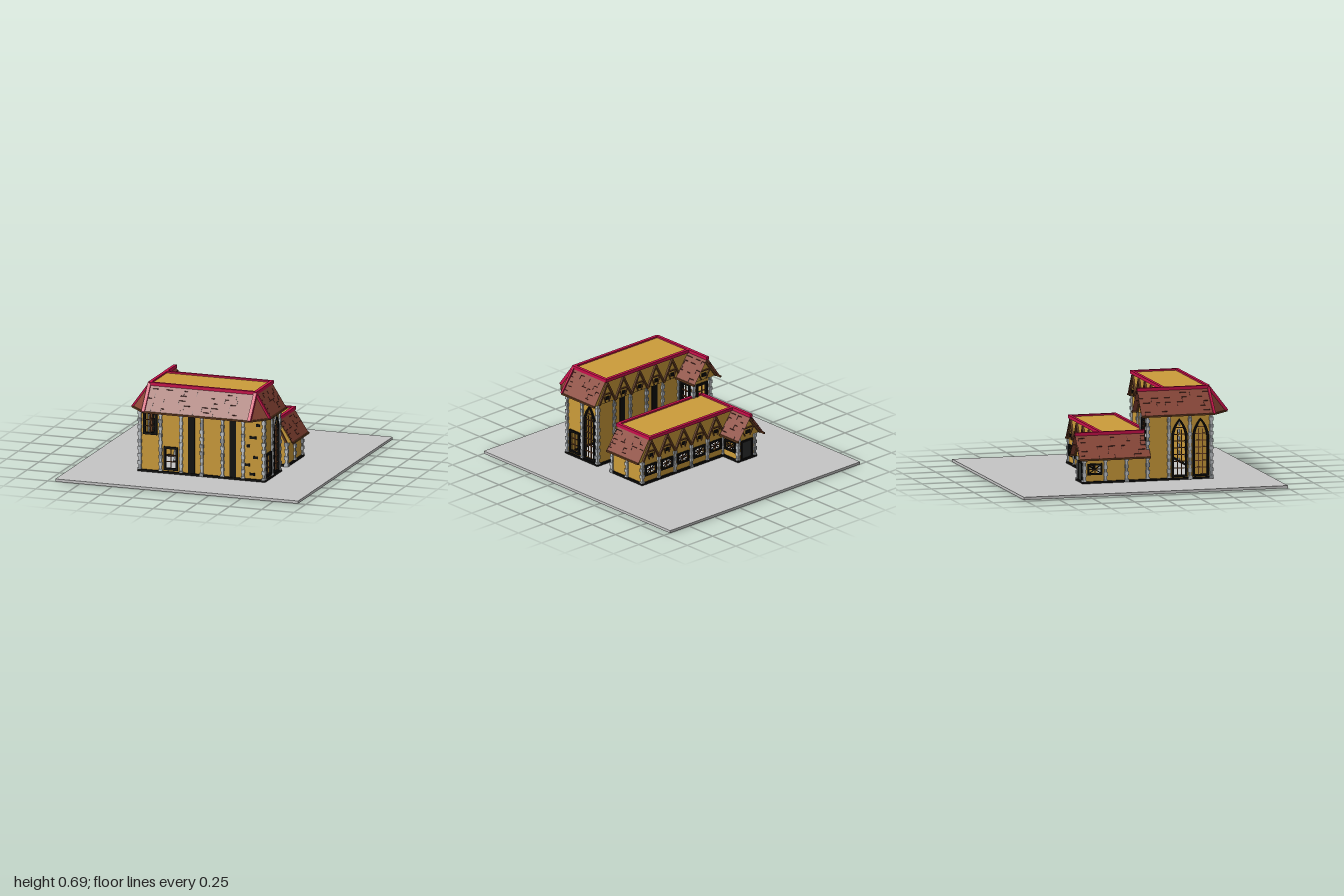
import * as THREE from 'three';

const mat = (name, color) => new THREE.MeshStandardMaterial({ name, color, side: THREE.DoubleSide });
const M = {
  plaster: mat('plaster', 0xcc9c3a), roof: mat('roof tile', 0x8a4535), joint: mat('tile joint', 0x44201a),
  ridge: mat('ridge', 0xc80f4a), black: mat('black timber', 0x0c0b0a), brown: mat('brown timber', 0x6b4022),
  stone: mat('light stone', 0xc0c4c8), stone2: mat('dark stone', 0x92969a), ground: mat('ground', 0xc6c6c6),
  door: mat('door', 0x2c2f2e),
};
const BAY = 0.16, GROUND = 0.02;
const V = (x, y, z) => new THREE.Vector3(x, y, z);

let seed = 7;
const rand = () => (seed = (seed * 16807) % 2147483647) / 2147483647;

function add(parent, name, geo, material, x = 0, y = 0, z = 0) {
  const m = new THREE.Mesh(geo, material);
  m.name = name;
  m.position.set(x, y, z);
  parent.add(m);
  return m;
}
const box = (p, name, material, w, h, d, x, y, z) => add(p, name, new THREE.BoxGeometry(w, h, d), material, x, y, z);

// Square beam between two points
function bar(parent, name, a, b, t, material, t2 = t) {
  const m = new THREE.Mesh(new THREE.BoxGeometry(t, t2, a.distanceTo(b)), material);
  m.name = name;
  m.position.copy(a).lerp(b, 0.5);
  m.lookAt(b);
  parent.add(m);
}

// Rectangle or pointed-arch outline
function outline(x, hw, y0, y1, point = 0, Type = THREE.Shape) {
  const s = new Type();
  s.moveTo(x - hw, y0);
  s.lineTo(x + hw, y0);
  s.lineTo(x + hw, y1 - point);
  if (point) {
    s.quadraticCurveTo(x + hw * 0.85, y1 - point * 0.45, x, y1);
    s.quadraticCurveTo(x - hw * 0.85, y1 - point * 0.45, x - hw, y1 - point);
  } else s.lineTo(x - hw, y1);
  s.closePath();
  return s;
}
const plate = (shape, depth) => new THREE.ExtrudeGeometry(shape, { depth, bevelEnabled: false, curveSegments: 6 });

// half width, bottom, top, arch height, frame width, columns, rows
const OPENINGS = {
  high: [0.054, 0.30, 0.472, 0, 0.016, 2, 3],
  low: [0.054, 0.045, 0.22, 0, 0.016, 2, 3],
  arch: [0.06, 0.04, 0.468, 0.12, 0.015, 3, 8],
  blindArch: [0.06, 0.04, 0.468, 0.12, 0.015, 3, 8],
  lattice: [0.056, 0.082, 0.165, 0, 0.012, 2, 2],
  door: [0.055, 0.022, 0.175, 0, 0.014, 0, 0],
};
const BRICKS = [[0.385, 0.468, 0.04], [0.47, 0.44, 0.026], [0.43, 0.345, 0.052], [0.395, 0.28, 0.026],
  [0.452, 0.197, 0.036], [0.385, 0.138, 0.042], [0.425, 0.07, 0.04]];

function stonePost(parent, x, y0, y1) {
  const n = Math.round((y1 - y0) / 0.026), h = (y1 - y0) / n;
  for (let i = 0; i < n; i++) {
    const w = i % 2 ? 0.019 : 0.025 + rand() * 0.004;
    box(parent, 'postStone', rand() < 0.3 ? M.stone2 : M.stone, w, h * 0.97, w, x, y0 + (i + 0.5) * h, 0.001);
  }
}

function bay(g, x, top, type) {
  const wall = outline(x, BAY / 2, GROUND, top);
  const o = OPENINGS[type];
  if (o) {
    const [hw, y0, y1, point, f, cols, rows] = o;
    const iw = hw - f, iy0 = y0 + f, iy1 = y1 - f;
    const hole = () => outline(x, iw, iy0, iy1, point, THREE.Path);
    if (type !== 'door' && type !== 'blindArch') wall.holes.push(hole());
    const frame = outline(x, hw, y0, y1, point);
    frame.holes.push(hole());
    add(g, type + 'Frame', plate(frame, 0.018), M.black, 0, 0, -0.006);
    if (type === 'door') box(g, 'doorLeaf', M.door, iw * 2, iy1 - iy0, 0.006, x, (iy0 + iy1) / 2, 0.004);
    // Glazing bars
    for (let i = 1; i < cols; i++) {
      const bx = -iw + (2 * iw * i) / cols, h = iy1 - iy0 - point * 0.55;
      box(g, 'mullion', M.brown, 0.006, h, 0.008, x + bx, iy0 + h / 2, 0.002);
    }
    for (let j = 1; j < rows; j++)
      box(g, 'glazingBar', M.brown, iw * 2 * (point && j === rows - 1 ? 0.6 : 1), 0.006, 0.008, x, iy0 + ((iy1 - iy0) * j) / rows, 0.002);
    if (type === 'lattice') for (const s of [-1, 1])
      bar(g, 'latticeBar', V(x - iw, s < 0 ? iy0 : iy1, 0.004), V(x + iw, s < 0 ? iy1 : iy0, 0.004), 0.006, M.black);
  }
  add(g, 'wallPanel', plate(wall, 0.008), M.plaster, 0, 0, -0.008);
  if (type === 'panel') box(g, 'blackPanel', M.black, 0.05, top - GROUND, 0.008, x, (top + GROUND) / 2, 0.002);
  if (type === 'bricks') for (const [bx, by, w] of BRICKS)
    box(g, 'darkBrick', M.black, w, 0.019, 0.008, x + bx - 0.435, by, 0.002);
}

// A run of bays starting at (x, z); local +z faces outwards
function wallRun(parent, name, x, z, turn, top, types) {
  const g = new THREE.Group();
  g.name = name;
  g.position.set(x, 0, z);
  g.rotation.y = (turn * Math.PI) / 2;
  types.forEach((t, i) => bay(g, (i + 0.5) * BAY, top, t));
  for (let i = 0; i <= types.length; i++) stonePost(g, i * BAY, GROUND, top);
  const len = types.length * BAY;
  box(g, 'plinth', M.black, len + 0.03, 0.015, 0.03, len / 2, GROUND + 0.0075, 0);
  parent.add(g);
}

// Roof slope: a, b along the top; c, d along the eave (d below a)
function slope(parent, name, a, b, c, d) {
  const geo = new THREE.BufferGeometry().setFromPoints([a, d, c, a, c, b]);
  geo.computeVertexNormals();
  add(parent, name, geo, M.roof);
  const at = (u, v) => a.clone().lerp(b, u).lerp(d.clone().lerp(c, u), v);
  const len = d.distanceTo(c), rows = 6;
  for (let r = 1; r < rows; r++) {
    for (let u = rand() * 0.08; u < 0.93; u += (0.06 + rand() * 0.09) / len) {
      const e = Math.min(u + (0.025 + rand() * 0.03) / len, 0.99);
      if (rand() < 0.6) bar(parent, 'tileJoint', at(u, r / rows), at(e, r / rows), 0.004, M.joint);
      if (rand() < 0.5) bar(parent, 'tileEdge', at(u, r / rows), at(u, (r + 0.8) / rows), 0.003, M.joint);
    }
  }
  bar(parent, 'eaveBoard', d, c, 0.012, M.brown);
}

// Timbered triangle set in the xy plane; s is the outward side
function gableTimber(g, x, hw, y0, y1, z, s) {
  const y = (k) => y0 + (y1 - y0) * k;
  for (const k of [-1, 1]) {
    bar(g, 'gableRafter', V(x + k * hw, y0, z), V(x, y1, z), 0.014, M.brown);
    bar(g, 'gableBrace', V(x + k * hw * 0.2, y(0.05), z), V(x + k * hw * 0.5, y(0.45), z), 0.007, M.brown);
  }
  bar(g, 'gableCollar', V(x - hw * 0.55, y(0.45), z), V(x + hw * 0.55, y(0.45), z), 0.009, M.brown);
  box(g, 'gableVent', M.black, hw * 0.35, (y1 - y0) * 0.16, 0.008, x, y(0.25), z + s * 0.002);
}

const XL = -0.37, XR = 0.45, EL = -0.5, ER = 0.565, WR = -0.24;

// Flat-topped roof with a gabled wing at its right rear
function roof(parent, name, eave, top, zf, zb, wingEnd, hipped) {
  const g = new THREE.Group();
  g.name = name;
  const zEnd = hipped ? zf + 0.01 : zf;
  slope(g, 'sideSlopeRight', V(XL, top, wingEnd), V(XL, top, zf), V(EL, eave, zEnd), V(EL, eave, wingEnd));
  slope(g, 'sideSlopeLeft', V(XR, top, zf), V(XR, top, zb), V(ER, eave, zb), V(ER, eave, zEnd));
  slope(g, 'wingSlope', V(XL, top, zb), V(XL, top, wingEnd), V(WR, eave, wingEnd), V(WR, eave, zb));
  box(g, 'flatTop', M.plaster, XR - XL, 0.008, zf - zb, (XL + XR) / 2, top - 0.004, (zf + zb) / 2);
  // Ridge caps
  const cap = (a, b) => bar(g, 'ridgeCap', a, b, 0.024, M.ridge);
  for (const z of [zf, zb]) cap(V(XL, top, z), V(XR, top, z));
  cap(V(XL, top, wingEnd), V(XL, top, zf));
  cap(V(XR, top, zb - 0.012), V(XR, top, zf + 0.012));
  if (hipped) {
    slope(g, 'frontSlope', V(XL, top, zf), V(XR, top, zf), V(XR, eave, 0.7), V(XL, eave, 0.7));
    for (const [x, e] of [[XL, EL], [XR, ER]]) {
      const geo = new THREE.BufferGeometry().setFromPoints([V(x, top, zf), V(e, eave, zEnd), V(x, eave, 0.7)]);
      geo.computeVertexNormals();
      add(g, 'cornerSlope', geo, M.roof);
      cap(V(x, top, zf), V(x, eave, 0.7));
      bar(g, 'hipCap', V(x, top, zf), V(e, eave, zEnd), 0.018, M.ridge);
      bar(g, 'eaveBoard', V(e, eave, zEnd), V(x, eave, 0.7), 0.012, M.brown);
    }
  }
  // Upright gable walls
  const upright = (z) => {
    const s = new THREE.Shape([[XL, eave], [ER - 0.01, eave], [XR, top - 0.01], [XL, top - 0.01]].map(([x, y]) => new THREE.Vector2(x, y)));
    add(g, 'gableWall', plate(s, 0.008), M.plaster, 0, 0, z - 0.004);
  };
  upright(zb + 0.012);
  for (let i = 0; i < 5; i++) gableTimber(g, 0.435 - i * BAY, BAY / 2, eave, top - 0.025, zb + 0.002, -1);
  if (!hipped) {
    upright(zf - 0.012);
    for (let i = 0; i < 5; i++) gableTimber(g, 0.435 - i * BAY, BAY / 2, eave, top - 0.025, zf - 0.002, 1);
  }
  const tri = new THREE.Shape([[EL + 0.01, eave], [WR - 0.01, eave], [XL, top - 0.01]].map(([x, y]) => new THREE.Vector2(x, y)));
  add(g, 'wingGable', plate(tri, 0.008), M.plaster, 0, 0, wingEnd + 0.045);
  gableTimber(g, XL, 0.12, eave, top - 0.02, wingEnd + 0.04, -1);
  parent.add(g);
}

export function createModel() {
  const root = new THREE.Group();
  root.name = 'halfTimberedHouse';
  box(root, 'groundSlab', M.ground, 1.88, GROUND, 2, 0, GROUND / 2, 0);
  const x0 = -0.445, x1 = -0.285, x2 = 0.515;

  // Tall front building
  const tall = new THREE.Group();
  tall.name = 'tallBuilding';
  const H = 0.5;
  wallRun(tall, 'frontWall', x0, 0.56, 0, H, ['high', 'low', 'panel', 'plain', 'panel', 'bricks']);
  wallRun(tall, 'leftWall', x2, 0.56, 1, H, ['low', 'arch']);
  wallRun(tall, 'backWall', x2, 0.24, 2, H, ['plain', 'panel', 'plain', 'panel', 'plain']);
  wallRun(tall, 'wingSideWall', x1, 0.24, 1, H, ['high']);
  wallRun(tall, 'wingEndWall', x1, 0.08, 2, H, ['high']);
  wallRun(tall, 'rightWall', x0, 0.08, 3, H, ['plain', 'arch', 'blindArch']);
  roof(tall, 'tallRoof', 0.5, 0.682, 0.56, 0.22, 0.02, true);

  // Low rear building
  const low = new THREE.Group();
  low.name = 'lowBuilding';
  const L = 0.2;
  wallRun(low, 'frontWall', x1, 0.08, 0, L, ['plain', 'plain', 'plain', 'plain', 'plain']);
  wallRun(low, 'leftWall', x2, 0.08, 1, L, ['plain', 'plain']);
  wallRun(low, 'backWall', x2, -0.24, 2, L, ['lattice', 'lattice', 'lattice', 'lattice', 'lattice']);
  wallRun(low, 'wingSideWall', x1, -0.24, 1, L, ['lattice']);
  wallRun(low, 'wingEndWall', x1, -0.4, 2, L, ['door']);
  wallRun(low, 'rightWall', x0, -0.4, 3, L, ['lattice', 'plain', 'plain']);
  roof(low, 'lowRoof', 0.2, 0.374, 0.09, -0.25, -0.45, false);

  root.add(tall, low);
  return root;
}
